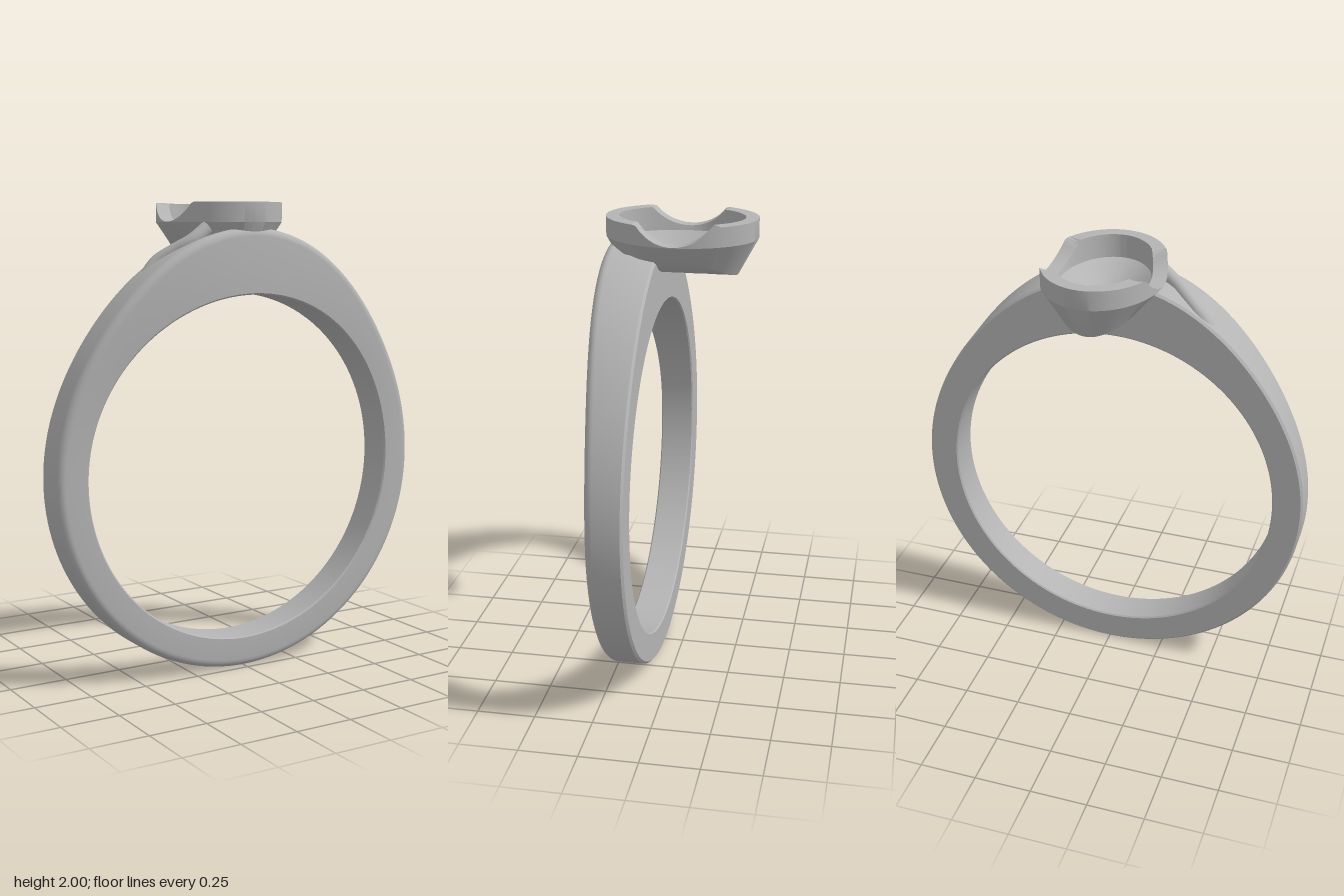
import * as THREE from 'three';
import { toCreasedNormals } from 'three/addons/utils/BufferGeometryUtils.js';

const metal = new THREE.MeshStandardMaterial({ color: 0xb4b4b4 });
metal.name = 'greyMetal';

// Sweeps a closed cross-section, given as a function of angle, round a closed loop
function loopLoft(section, columns, crease) {
  const pos = [], index = [];
  let rows = 0;
  for (let i = 0; i < columns; i++) {
    const points = section((i / columns) * Math.PI * 2);
    rows = points.length;
    points.forEach((p) => pos.push(...p));
  }
  for (let i = 0; i < columns; i++) {
    for (let j = 0; j < rows; j++) {
      const n = ((i + 1) % columns) * rows, m = i * rows, k = (j + 1) % rows;
      index.push(m + j, n + j, m + k, n + j, n + k, m + k);
    }
  }
  const geo = new THREE.BufferGeometry();
  geo.setAttribute('position', new THREE.Float32BufferAttribute(pos, 3));
  geo.setIndex(index);
  return toCreasedNormals(geo, crease);
}

function addMesh(group, name, geometry) {
  const mesh = new THREE.Mesh(geometry, metal);
  mesh.name = name;
  group.add(mesh);
}

// Band: round bore, thicker and wider towards the top, with a rounded front edge
function bandSection(t) {
  const s = Math.sin(t), c = Math.cos(t), up = Math.max(c, 0);
  const inner = 0.74, back = 0.08;
  const outer = 0.875 + 0.14 * Math.pow(up, 4.5);
  const front = 0.236 + 0.068 * Math.pow(up, 2.3);
  // the back of the top drops away beneath the cup
  const underCup = c > 0 ? 0.09 * Math.exp(-Math.pow((s * outer) / 0.13, 4)) : 0;
  const outerBack = outer - 0.025 * Math.pow(up, 4) - underCup;
  const profile = [];
  const fillet = 0.035;
  for (let k = 0; k <= 5; k++) {
    const a = (k / 5) * Math.PI / 2;
    profile.push([outer - fillet * (1 - Math.sin(a)), front - fillet * (1 - Math.cos(a))]);
  }
  profile.push(
    [outerBack, back + 0.01], [outerBack - 0.01, back],
    [inner + 0.006, back], [inner, back + 0.006],
    [inner, front - 0.006], [inner + 0.006, front],
  );
  return profile.map(([r, z]) => [r * s, 0.88 + r * c, z]);
}

// Cup: oval bowl with a rounded notch cut through each side of its rim
function cupSection(t) {
  const oval = (rx, rz, height) => {
    const x = rx * Math.cos(t), z = rz * Math.sin(t);
    return [x, height(x, z), z];
  };
  const rim = (x, z) =>
    Math.abs(z) < 0.155 ? Math.min(2, 2.11 - Math.sqrt(0.19 * 0.19 - z * z)) : 2;
  const base = (x) => 1.765 + 0.075 * (x / 0.18) ** 2;
  const level = (y) => () => y;
  return [
    oval(0.25, 0.32, rim),
    oval(0.25, 0.32, level(1.918)),
    oval(0.18, 0.237, base),
    oval(0.125, 0.165, base),
    oval(0.07, 0.094, base),
    oval(0.07, 0.094, level(1.8)),
    oval(0.185, 0.262, level(1.9)),
    oval(0.19, 0.265, rim),
  ];
}

export function createModel() {
  const model = new THREE.Group();
  model.name = 'ring';

  addMesh(model, 'band', loopLoft(bandSection, 160, 0.6));
  addMesh(model, 'cup', loopLoft(cupSection, 128, 0.5));

  // Tendril curling from the shoulder of the band into the cup wall
  const path = new THREE.CatmullRomCurve3([
    [-0.42, 1.69, 0.12], [-0.37, 1.755, 0.13], [-0.31, 1.80, 0.165],
    [-0.25, 1.84, 0.205], [-0.18, 1.895, 0.215],
  ].map((p) => new THREE.Vector3(...p)));
  addMesh(model, 'tendril', new THREE.TubeGeometry(path, 32, 0.03, 14, false));

  return model;
}
